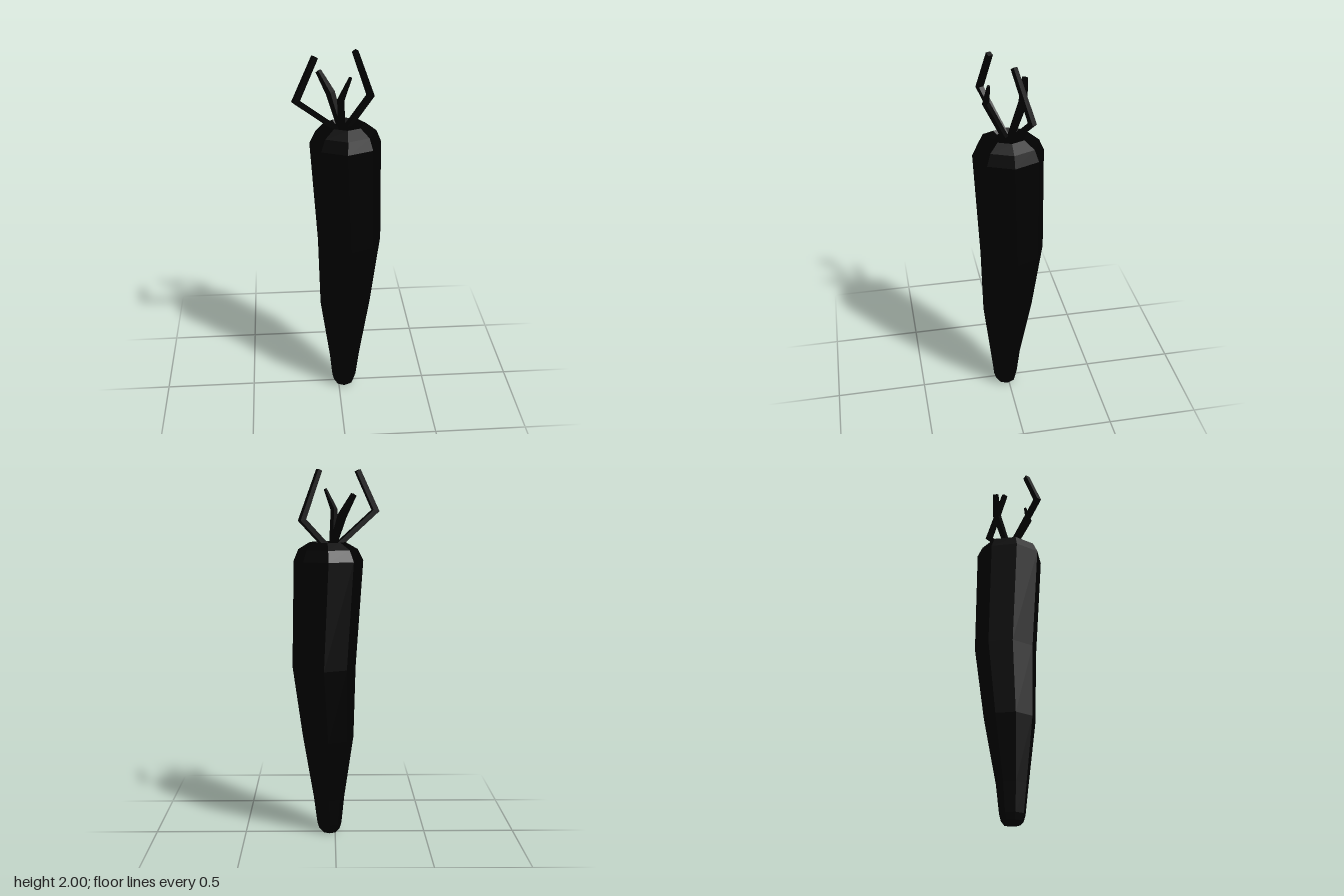
import * as THREE from 'three';

// Skins a stack of rings (bottom to top), closes both ends, and facets the result.
function loft(rings) {
  const n = rings[0].length, pos = [], idx = [];
  rings.forEach(r => r.forEach(p => pos.push(p.x, p.y, p.z)));
  for (let k = 0; k < rings.length - 1; k++) {
    for (let i = 0; i < n; i++) {
      const a = k * n + i, b = k * n + (i + 1) % n;
      idx.push(a, a + n, b, b, a + n, b + n);
    }
  }
  const last = (rings.length - 1) * n;
  for (let i = 1; i < n - 1; i++) {
    idx.push(0, i, i + 1, last, last + i + 1, last + i);
  }
  const indexed = new THREE.BufferGeometry();
  indexed.setAttribute('position', new THREE.Float32BufferAttribute(pos, 3));
  indexed.setIndex(idx);
  const geometry = indexed.toNonIndexed();
  geometry.computeVertexNormals();
  return geometry;
}

// Eight-sided horizontal ring.
function rootRing([y, cx, cz, r]) {
  return Array.from({ length: 8 }, (_, i) => {
    const a = i * Math.PI / 4;
    return new THREE.Vector3(cx + r * Math.cos(a), y, cz + r * Math.sin(a));
  });
}

// Square stalk through base, elbow and tip, mitred at the elbow.
function stalk(points, halfWidths) {
  const [base, elbow, tip] = points.map(p => new THREE.Vector3(...p));
  const t0 = elbow.clone().sub(base).normalize();
  const t1 = tip.clone().sub(elbow).normalize();
  const mid = t0.clone().add(t1).normalize();
  const u = t0.clone().cross(t1).normalize();
  const corners = [[1, 1], [-1, 1], [-1, -1], [1, -1]];
  const ring = (c, t, h, stretch) => {
    const v = u.clone().cross(t);
    return corners.map(([a, b]) =>
      c.clone().addScaledVector(u, a * h).addScaledVector(v, b * h * stretch));
  };
  return loft([
    ring(base, t0, halfWidths[0], 1),
    ring(elbow, mid, halfWidths[1], 1 / mid.dot(t0)),
    ring(tip, t1, halfWidths[2], 1),
  ]);
}

export function createModel() {
  const model = new THREE.Group();
  model.name = 'rootVegetable';
  const black = new THREE.MeshStandardMaterial({ color: 0x000000 });
  black.name = 'black';

  const add = (name, geometry) => {
    const mesh = new THREE.Mesh(geometry, black);
    mesh.name = name;
    model.add(mesh);
  };

  // Tapered, slightly crooked root: height, centre x, centre z, radius
  add('root', loft([
    [0, 0.03, 0.012, 0.045],
    [0.015, 0.031, 0.014, 0.058],
    [0.05, 0.032, 0.015, 0.068],
    [0.2, 0.034, 0.015, 0.085],
    [0.55, 0.038, 0.003, 0.139],
    [0.95, 0.06, -0.015, 0.171],
    [1.52, 0.035, 0, 0.185],
    [1.58, 0.037, 0, 0.158],
    [1.617, 0.04, 0, 0.095],
    [1.6, 0.035, 0, 0.07], // shallow hollow around the stalks
  ].map(rootRing)));

  // Four bent stalks: base, elbow, tip, then half widths
  const stalks = [
    ['stalkRight', [[0.03, 1.56, -0.01], [-0.218, 1.78, 0.102], [-0.12, 1.99, 0.065]], [0.014, 0.014, 0.013]],
    ['stalkLeft', [[0.02, 1.565, 0], [0.172, 1.735, -0.092], [0.083, 1.99, -0.018]], [0.014, 0.014, 0.012]],
    ['stalkBack', [[0.02, 1.57, -0.005], [-0.035, 1.755, -0.088], [-0.095, 1.865, -0.11]], [0.013, 0.017, 0.011]],
    ['stalkFront', [[0.015, 1.57, 0], [0.004, 1.785, 0.107], [0.052, 1.895, 0.1]], [0.013, 0.013, 0.006]],
  ];
  stalks.forEach(([name, points, widths]) => add(name, stalk(points, widths)));

  return model;
}
